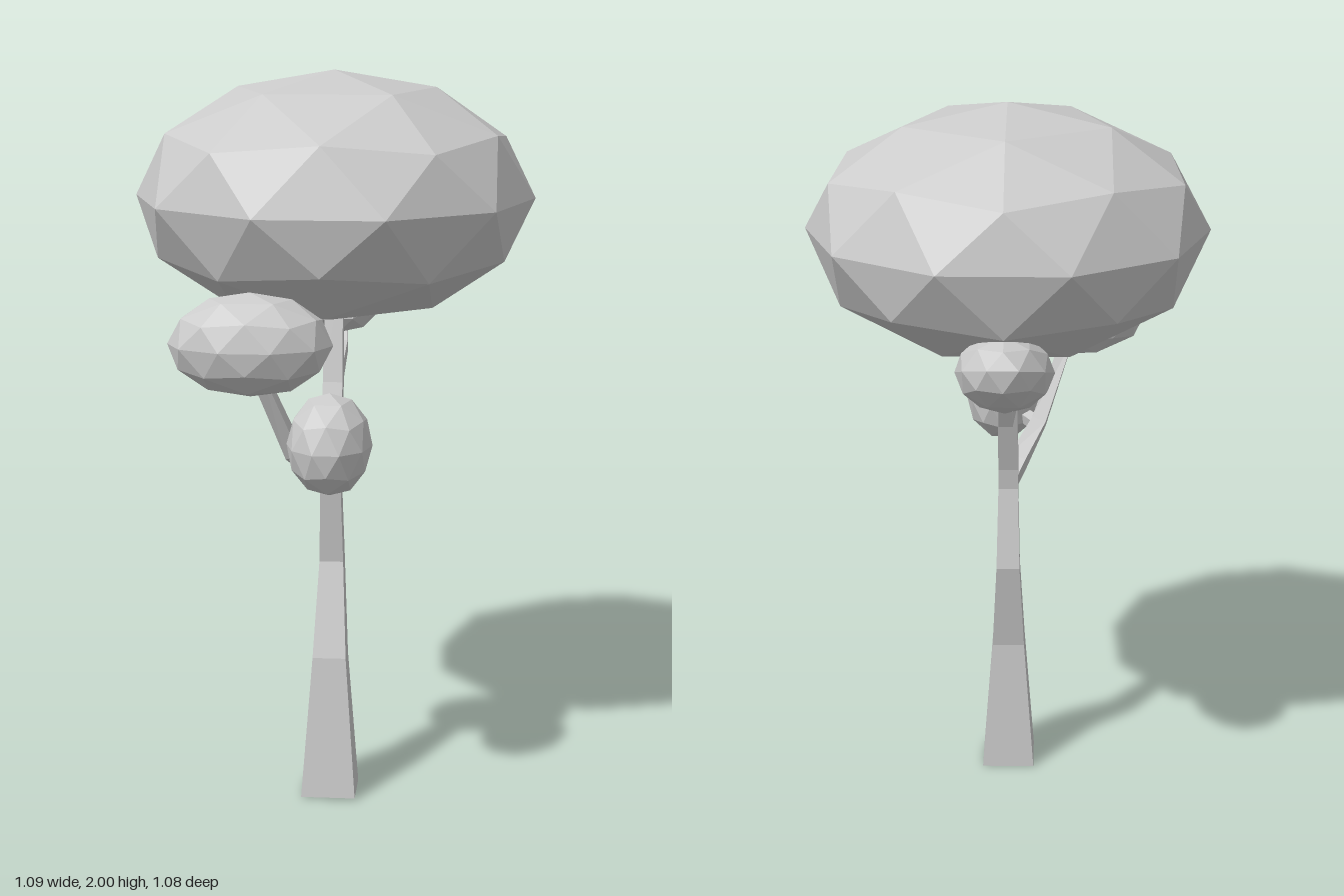
import * as THREE from 'three';

const material = new THREE.MeshStandardMaterial({ color: 0xcccccc, flatShading: true });

// Square-section limb swept along points [x, y, z, halfWidth]
function limb(name, stations) {
  const pts = stations.map(([x, y, z]) => new THREE.Vector3(x, y, z));
  const last = pts.length - 1;
  const rings = pts.map((p, i) => {
    const before = pts[Math.max(i - 1, 0)], after = pts[Math.min(i + 1, last)];
    const t = after.clone().sub(before).normalize();
    const side = new THREE.Vector3(1, 0, 0).addScaledVector(t, -t.x).normalize();
    const up = t.clone().cross(side);
    const h = stations[i][3];
    return [[-1, -1], [1, -1], [1, 1], [-1, 1]].map(([a, b]) =>
      p.clone().addScaledVector(side, a * h).addScaledVector(up, b * h));
  });
  const tris = [];
  const quad = (a, b, c, d) => tris.push(a, b, c, a, c, d);
  for (let i = 0; i < last; i++) {
    for (let k = 0; k < 4; k++) {
      const n = (k + 1) % 4;
      quad(rings[i][k], rings[i][n], rings[i + 1][n], rings[i + 1][k]);
    }
  }
  quad(...[...rings[0]].reverse());
  quad(...rings[last]);
  const geometry = new THREE.BufferGeometry().setFromPoints(tris);
  geometry.computeVertexNormals();
  const mesh = new THREE.Mesh(geometry, material);
  mesh.name = name;
  return mesh;
}

// Faceted ellipsoid of leaves with one icosahedron corner at the top
function foliage(name, position, radii, tilt = 0) {
  const geometry = new THREE.IcosahedronGeometry(1, 1);
  geometry.rotateX(-Math.atan2(1 + Math.sqrt(5), 2));
  geometry.rotateY(Math.PI);
  geometry.scale(...radii);
  geometry.computeVertexNormals();
  const mesh = new THREE.Mesh(geometry, material);
  mesh.name = name;
  mesh.position.set(...position);
  mesh.rotation.x = tilt;
  return mesh;
}

export function createModel() {
  const tree = new THREE.Group();
  tree.name = 'tree';

  // Bent, tapering trunk running up into the crown
  tree.add(limb('trunk', [
    [0, 0.003, 0.16, 0.075],
    [0, 0.395, 0.145, 0.046],
    [0, 0.655, 0.08, 0.033],
    [0, 0.88, 0.114, 0.028],
    [0, 0.95, 0.105, 0.028],
    [0, 1.15, 0.04, 0.027],
    [0, 1.45, -0.02, 0.024],
  ]));

  // Front branch, its twig, and the branch at the back
  tree.add(limb('frontBranch', [
    [0, 0.90, 0.125, 0.027],
    [-0.025, 0.935, 0.17, 0.025],
    [-0.085, 1.015, 0.3, 0.021],
    [-0.17, 1.25, 0.39, 0.017],
  ]));
  tree.add(limb('frontTwig', [
    [-0.08, 1.01, 0.29, 0.017],
    [0, 1.04, 0.37, 0.014],
  ]));
  tree.add(limb('backBranch', [
    [0, 1.165, 0.04, 0.026],
    [0, 1.18, -0.02, 0.025],
    [0, 1.2, -0.245, 0.019],
    [0, 1.32, -0.31, 0.015],
  ]));

  // Crown and the smaller leaf clusters
  tree.add(foliage('crown', [0, 1.66, 0], [0.545, 0.34, 0.545]));
  tree.add(foliage('upperFrontCluster', [-0.185, 1.325, 0.415], [0.215, 0.136, 0.138]));
  tree.add(foliage('lowerFrontCluster', [0.02, 1.065, 0.415], [0.112, 0.136, 0.138]));
  tree.add(foliage('backCluster', [0, 1.36, -0.338], [0.13, 0.106, 0.22], 0.31));

  return tree;
}
